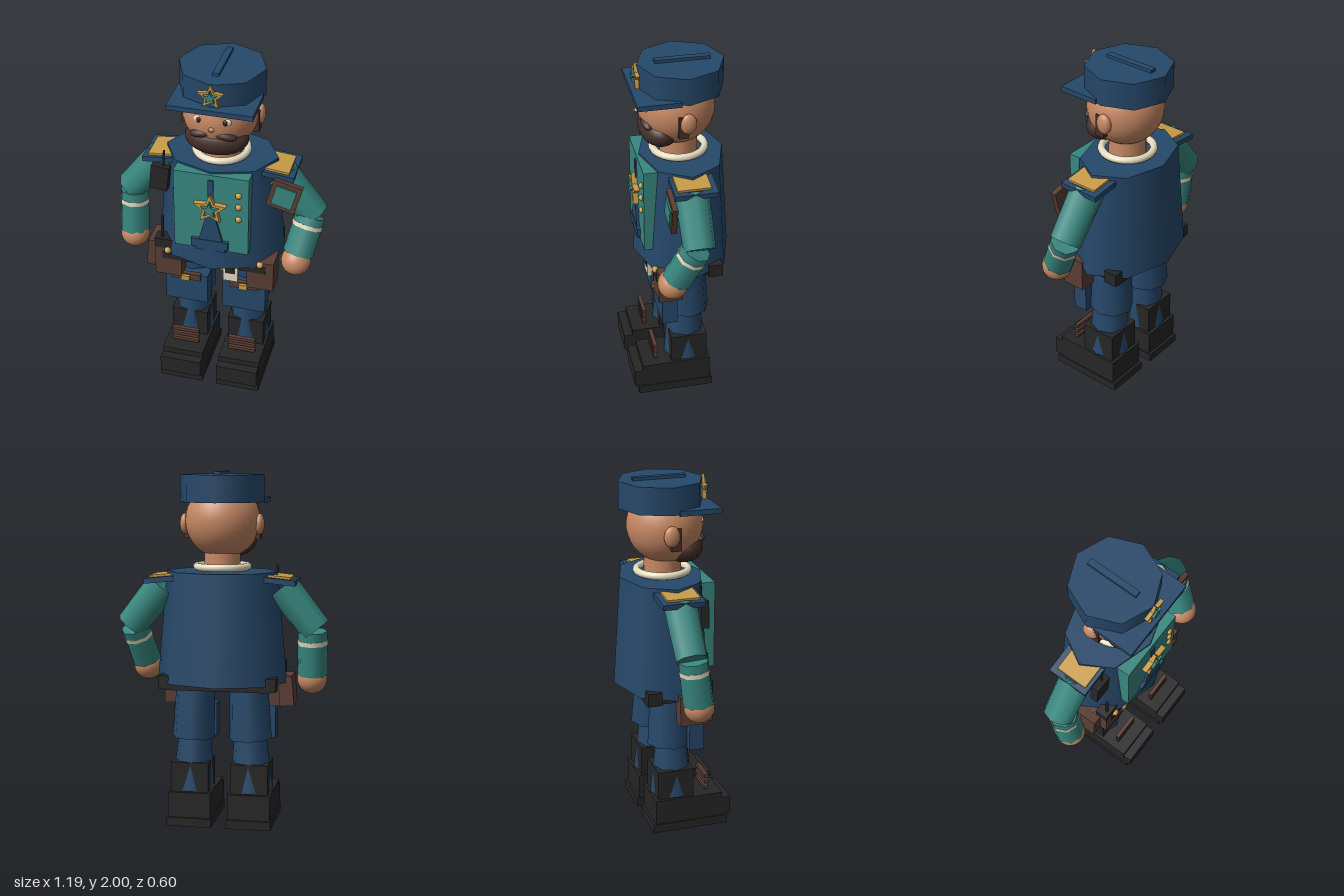
import * as THREE from 'three';

const mat = (name, color) => {
  const m = new THREE.MeshStandardMaterial({ color });
  m.name = name;
  return m;
};

export function createModel() {
  const navy = mat('navy', 0x26486a), teal = mat('teal', 0x388780), skin = mat('skin', 0xc68863);
  const black = mat('black', 0x262626), leather = mat('leather', 0x5a3d33), hair = mat('hair', 0x46302a);
  const gold = mat('gold', 0xc99c48), cream = mat('cream', 0xe6dcc0);

  const root = new THREE.Group();
  root.name = 'officer';
  const body = new THREE.Group();
  body.name = 'body';
  body.position.x = -0.005;
  root.add(body);

  const add = (name, geo, m, x, y, z) => {
    const mesh = new THREE.Mesh(geo, m);
    mesh.name = name;
    mesh.position.set(x, y, z);
    body.add(mesh);
    return mesh;
  };
  // Box given by its limits on each axis
  const box = (name, m, x0, x1, y0, y1, z0, z1, tilt = 0) => {
    const b = add(name, new THREE.BoxGeometry(x1 - x0, y1 - y0, z1 - z0), m,
      (x0 + x1) / 2, (y0 + y1) / 2, (z0 + z1) / 2);
    b.rotation.z = tilt;
    return b;
  };
  const ball = (name, m, x, y, z, rx, ry = rx, rz = rx, seg = 24) => {
    const b = add(name, new THREE.SphereGeometry(1, seg, Math.round(seg * 0.7)), m, x, y, z);
    b.scale.set(rx, ry, rz);
    return b;
  };
  // Eight-sided tapered limb from a to b
  const limb = (name, m, a, b, ra, rb) => {
    const p = new THREE.Vector3(...a), q = new THREE.Vector3(...b), d = p.clone().sub(q);
    const mesh = add(name, new THREE.CylinderGeometry(ra, rb, d.length(), 8), m, 0, 0, 0);
    mesh.position.copy(p).add(q).multiplyScalar(0.5);
    mesh.quaternion.setFromUnitVectors(new THREE.Vector3(0, 1, 0), d.normalize());
    return mesh;
  };
  const starPoints = (r) => Array.from({ length: 10 }, (_, i) => {
    const a = Math.PI / 2 + i * Math.PI / 5, k = i % 2 ? r * 0.45 : r;
    return new THREE.Vector2(Math.cos(a) * k, Math.sin(a) * k);
  });
  // Open star badge with a small raised gem
  const badge = (name, y, z, r, depth) => {
    const s = new THREE.Shape(starPoints(r));
    s.holes.push(new THREE.Path(starPoints(r * 0.62).reverse()));
    add(name, new THREE.ExtrudeGeometry(s, { depth, bevelEnabled: false }), gold, 0, y, z);
    const gem = new THREE.Shape(starPoints(r * 0.5));
    add(name + 'Gem', new THREE.ExtrudeGeometry(gem, { depth: depth + 0.012, bevelEnabled: false }), teal, 0, y, z);
  };

  // Torso, vest and collar
  const torso = add('torso', new THREE.CylinderGeometry(0.315, 0.37, 0.62, 8), navy, 0, 1.14, -0.03);
  torso.scale.z = 0.74;
  box('vest', teal, -0.21, 0.21, 0.95, 1.44, 0.1, 0.217);
  box('tieTop', navy, -0.016, 0.016, 1.3, 1.41, 0.21, 0.225);
  const tie = new THREE.Shape([[-0.02, 1.2], [-0.085, 0.95], [0.085, 0.95], [0.02, 1.2]]
    .map((p) => new THREE.Vector2(...p)));
  add('tie', new THREE.ExtrudeGeometry(tie, { depth: 0.02, bevelEnabled: false }), navy, 0, 0, 0.212);
  box('tieClip', navy, -0.11, 0.1, 0.97, 1.02, 0.2, 0.236);
  badge('chestBadge', 1.235, 0.217, 0.095, 0.03);
  for (const y of [1.335, 1.26, 1.18]) ball('vestButton', gold, 0.155, y, 0.22, 0.018, 0.018, 0.015, 12);
  const collar = add('collar', new THREE.TorusGeometry(0.143, 0.021, 10, 32), cream, 0, 1.475, -0.018);
  collar.rotation.x = Math.PI / 2;

  // Head
  add('neck', new THREE.CylinderGeometry(0.1, 0.105, 0.18, 16), skin, 0, 1.52, -0.018);
  ball('head', skin, 0, 1.73, -0.005, 0.21, 0.21, 0.21, 32);
  ball('beard', hair, 0, 1.61, 0.09, 0.175, 0.095, 0.112);
  const nose = add('nose', new THREE.ConeGeometry(0.038, 0.075, 8), skin, 0, 1.715, 0.198);
  nose.rotation.x = Math.PI / 2;
  for (const s of [-1, 1]) {
    const m = ball('moustache', hair, s * 0.055, 1.672, 0.165, 0.075, 0.026, 0.035, 16);
    m.rotation.z = -s * 0.2;
    ball('ear', skin, s * 0.21, 1.712, -0.028, 0.028, 0.058, 0.045, 16);
    box('sideburn', hair, s * 0.2 - 0.015, s * 0.2 + 0.015, 1.63, 1.755, -0.03, 0.025);
    ball('eye', cream, s * 0.071, 1.757, 0.172, 0.032, 0.026, 0.02, 16);
    ball('pupil', black, s * 0.071, 1.757, 0.187, 0.015, 0.017, 0.009, 12);
    box('eyebrow', hair, s * 0.075 - 0.04, s * 0.075 + 0.04, 1.795, 1.82, 0.14, 0.185, -s * 0.06);
  }

  // Cap
  add('capCrown', new THREE.CylinderGeometry(0.237, 0.237, 0.15, 8), navy, 0, 1.908, -0.028);
  box('capRidge', navy, -0.018, 0.018, 1.97, 2, -0.187, 0.112);
  box('capBrim', navy, -0.232, 0.232, 1.825, 1.853, 0.01, 0.245);
  badge('capBadge', 1.918, 0.2, 0.072, 0.022);

  // Shoulders
  for (const s of [-1, 1]) {
    box('shoulderBoard', navy, s * 0.33 - 0.095, s * 0.33 + 0.095, 1.39, 1.42, -0.145, 0.09, -s * 0.1);
    box('epaulette', gold, s * 0.325 - 0.07, s * 0.325 + 0.07, 1.417, 1.433, -0.112, 0.07, -s * 0.1);
  }

  // Arms: [elbow, wrist, hand centre]
  for (const [s, wrist, hand] of [
    [-1, [-0.508, 0.87, 0.025], [-0.505, 0.845, 0.03]],
    [1, [0.465, 0.92, 0.09], [0.46, 0.885, 0.11]],
  ]) {
    const elbow = [s * 0.508, 1.12, -0.005];
    limb('upperArm', teal, [s * 0.34, 1.365, -0.02], [s * 0.528, 1.13, -0.02], 0.095, 0.088);
    limb('forearm', teal, elbow, wrist, 0.083, 0.086);
    const at = (t) => elbow.map((v, i) => v + (wrist[i] - v) * t);
    limb('cuffStripe', cream, at(0.2), at(0.3), 0.086, 0.086);
    ball('hand', skin, ...hand, 0.084);
  }

  // Sleeve patch and shoulder radio
  box('sleevePatch', leather, 0.297, 0.462, 1.21, 1.385, 0.085, 0.115, -0.25);
  box('sleevePatchPanel', teal, 0.322, 0.437, 1.237, 1.358, 0.112, 0.124, -0.25);
  box('radio', black, -0.37, -0.268, 1.235, 1.385, 0.085, 0.13, -0.1);
  limb('radioAntenna', black, [-0.293, 1.48, 0.105], [-0.3, 1.37, 0.105], 0.006, 0.006);

  // Belt and equipment
  box('belt', black, -0.3, 0.3, 0.795, 0.84, -0.2, 0.17);
  box('buckle', gold, -0.065, 0.065, 0.79, 0.832, 0.16, 0.185);
  box('notebook', cream, 0.06, 0.145, 0.725, 0.83, 0.165, 0.19);
  box('notebookWindow', black, 0.073, 0.132, 0.78, 0.817, 0.188, 0.194);
  box('beltRadio', black, -0.345, -0.24, 0.865, 0.925, 0.09, 0.165);
  limb('beltAntenna', black, [-0.302, 1.07, 0.14], [-0.307, 0.92, 0.14], 0.008, 0.008);
  box('holster', leather, -0.405, -0.325, 0.695, 0.865, -0.04, 0.12, -0.08);
  for (const s of [-1, 1]) {
    box('pouch', leather, s * 0.268 - 0.077, s * 0.268 + 0.077, 0.68, 0.865, 0.03, 0.165);
    ball('pouchButton', gold, s * 0.268, 0.855, 0.17, 0.02, 0.02, 0.018, 12);
    box('rearPouch', black, s * 0.27 - 0.06, s * 0.27 + 0.06, 0.8, 0.875, -0.2, -0.12);
  }

  // Legs and boots
  for (const s of [-1, 1]) {
    const x = s * 0.17;
    const span = (name, m, half, ...yz) => box(name, m, x - half, x + half, ...yz);
    limb('thigh', navy, [s * 0.15, 0.84, -0.025], [s * 0.165, 0.5, -0.035], 0.11, 0.122);
    span('kneePanel', navy, 0.125, 0.49, 0.68, 0.05, 0.135);
    span('kneeStrap', leather, 0.085, 0.65, 0.69, 0.12, 0.148);
    span('kneeBuckle', gold, 0.024, 0.653, 0.685, 0.14, 0.165);
    limb('shin', navy, [s * 0.16, 0.52, -0.015], [x, 0.2, -0.02], 0.092, 0.124);
    span('bootShaft', black, 0.107, 0.19, 0.365, -0.127, 0.082);
    for (const y of [0.29, 0.255, 0.218]) span('lace', leather, 0.08, y - 0.01, y + 0.01, 0.158, 0.18);
    span('boot', black, 0.122, 0.05, 0.195, -0.145, 0.25);
    span('toeCap', black, 0.121, 0.055, 0.16, 0.25, 0.3);
    span('sole', black, 0.128, 0, 0.05, -0.16, 0.277);
  }
  return root;
}
